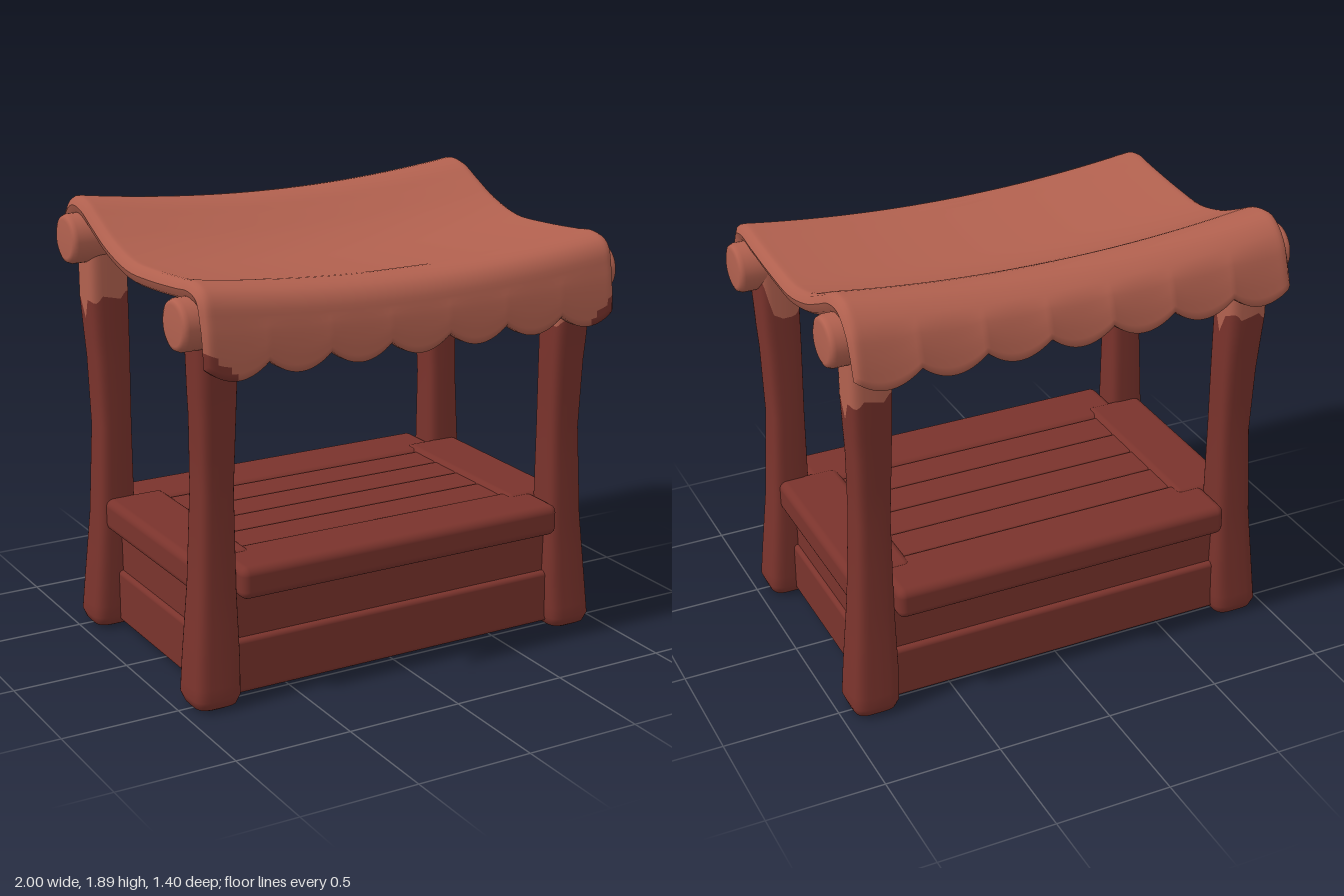
import * as THREE from 'three';
import { RoundedBoxGeometry } from 'three/addons/geometries/RoundedBoxGeometry.js';

const clothRed = new THREE.MeshStandardMaterial({ color: 0xb2614f });
clothRed.name = 'cloth red';
const woodRed = new THREE.MeshStandardMaterial({ color: 0x7a332c });
woodRed.name = 'wood red';

// Smooth surface over a grid of points, closed along u or v; isDark picks wood red faces
function surface(point, nu, nv, closeU, closeV, isDark) {
  const pos = [], light = [], dark = [];
  const cu = closeU ? nu : nu + 1, cv = closeV ? nv : nv + 1;
  for (let j = 0; j < cv; j++)
    for (let i = 0; i < cu; i++) pos.push(...point(i, j));
  const at = (i, j) => (j % cv) * cu + (i % cu);
  for (let j = 0; j < nv; j++)
    for (let i = 0; i < nu; i++) {
      const a = at(i, j), b = at(i + 1, j), c = at(i + 1, j + 1), d = at(i, j + 1);
      const list = isDark(pos[a * 3], pos[a * 3 + 1], pos[a * 3 + 2]) ? dark : light;
      list.push(a, b, c, a, c, d);
    }
  const g = new THREE.BufferGeometry();
  g.setAttribute('position', new THREE.Float32BufferAttribute(pos, 3));
  g.setIndex([...light, ...dark]);
  g.addGroup(0, light.length, 0);
  g.addGroup(light.length, dark.length, 1);
  g.computeVertexNormals();
  return g;
}

// Post outline: height, outer x, inner x, outer z, inner z
const POST = [
  [0, 0.92, 0.79, 0.565, 0.43], [0.012, 0.945, 0.765, 0.585, 0.405],
  [0.05, 0.96, 0.75, 0.6, 0.39], [0.2, 0.948, 0.745, 0.588, 0.39],
  [0.5, 0.92, 0.75, 0.567, 0.397], [0.9, 0.9, 0.75, 0.555, 0.405],
  [1.2, 0.905, 0.742, 0.57, 0.415], [1.45, 0.92, 0.738, 0.59, 0.42], [1.8, 0.92, 0.738, 0.59, 0.42],
];
function postSection(y) {
  let k = 0;
  while (k < POST.length - 2 && y > POST[k + 1][0]) k++;
  const p = POST[k], q = POST[k + 1], t = (y - p[0]) / (q[0] - p[0]);
  return p.map((v, n) => v + (q[n] - v) * t);
}

function postPart(sx, sz, heights, capStart, capEnd) {
  const N = 32, rows = heights.length;
  const nv = rows - 1 + (capStart ? 1 : 0) + (capEnd ? 1 : 0);
  return surface((i, j) => {
    const r = Math.min(Math.max(j - (capStart ? 1 : 0), 0), rows - 1);
    const scale = (capStart && j === 0) || (capEnd && j === nv) ? 0 : 1;
    const a = (i / N) * Math.PI * 2, c = Math.cos(a), s = -Math.sin(a);
    const ex = Math.sign(c) * Math.sqrt(Math.abs(c)), ez = Math.sign(s) * Math.sqrt(Math.abs(s));
    const y = heights[r](ex * sx, ez * sz);
    const [, ox, ix, oz, iz] = postSection(y);
    return [sx * (ox + ix) / 2 + scale * ex * (ox - ix) / 2, y,
      sz * (oz + iz) / 2 + scale * ez * (oz - iz) / 2];
  }, N, nv, true, false, () => false);
}

// Canopy centre line (z, y) from the front hem to the back hem, with half thickness
const CLOTH = [
  [0.675, 1.385, 0.02], [0.668, 1.5, 0.024], [0.65, 1.62, 0.03], [0.622, 1.695, 0.038],
  [0.555, 1.718, 0.04], [0.45, 1.708, 0.04], [0.2, 1.688, 0.042], [0, 1.686, 0.042],
  [-0.2, 1.735, 0.042], [-0.35, 1.802, 0.042], [-0.45, 1.848, 0.042], [-0.54, 1.855, 0.042],
  [-0.61, 1.805, 0.036], [-0.652, 1.7, 0.028], [-0.685, 1.57, 0.018],
];
function canopyGeometry() {
  const curve = new THREE.CatmullRomCurve3(CLOTH.map(([z, y]) => new THREE.Vector3(0, y, z)));
  const M = 56, W = 0.945, NX = 140;
  const line = [];
  for (let k = 0; k <= M; k++) {
    const s = k / M, f = s * (CLOTH.length - 1), n = Math.min(Math.floor(f), CLOTH.length - 2);
    const p = curve.getPoint(s), t = curve.getTangent(s);
    const end = Math.min(f, CLOTH.length - 1 - f);
    line.push({
      p, ny: -t.z, nz: t.y,
      h: CLOTH[n][2] + (CLOTH[n + 1][2] - CLOTH[n][2]) * (f - n),
      hem: Math.max(0, 1 - end / 2), sag: THREE.MathUtils.smoothstep(end, 0, 3),
    });
  }
  return surface((i, j) => {
    const x = -W + (2 * W * i) / NX, outer = j <= M;
    const l = line[outer ? j : 2 * M + 1 - j];
    // rounded side edge, scalloped hem and sagging middle
    const e = Math.max(0, (Math.abs(x) - W + 0.04) / 0.04);
    const h = l.h * Math.sqrt(Math.max(0, 1 - e * e)) * (outer ? 1 : -1);
    const d = Math.abs(x / 0.27 - Math.round(x / 0.27)) * 2;
    const y = l.p.y + 0.06 * d * d * l.hem - 0.068 * (1 - (x / W) ** 2) * l.sag;
    return [x, y + l.ny * h, l.p.z + l.nz * h];
  }, NX, 2 * M + 2, false, true,
  (x, y, z) => z > 0.5 && Math.abs(x) > 0.82 && y < 1.4 + (Math.abs(x) - 0.82) * 0.8);
}

export function createModel() {
  const root = new THREE.Group();
  root.name = 'canopyStall';
  const add = (name, geo, mat, x = 0, y = 0, z = 0) => {
    const m = new THREE.Mesh(geo, mat);
    m.name = name;
    m.position.set(x, y, z);
    root.add(m);
    return m;
  };
  const block = (name, x0, x1, y0, y1, z0, z1, r) =>
    add(name, new RoundedBoxGeometry(x1 - x0, y1 - y0, z1 - z0, 4, r), woodRed,
      (x0 + x1) / 2, (y0 + y1) / 2, (z0 + z1) / 2);

  // Base: two stacked boards all round
  block('lowerBase', -0.85, 0.85, 0.025, 0.26, -0.535, 0.535, 0.02);
  block('upperBase', -0.83, 0.83, 0.23, 0.48, -0.51, 0.51, 0.015);

  // Deck: rim beams around four planks
  for (const s of [-1, 1]) {
    const span = (a, b) => (s > 0 ? [a, b] : [-b, -a]);
    block(s > 0 ? 'frontRim' : 'backRim', -0.757, 0.757, 0.45, 0.585, ...span(0.335, 0.605), 0.035);
    block(s > 0 ? 'leftRim' : 'rightRim', ...span(0.62, 0.895), 0.45, 0.592, -0.43, 0.43, 0.035);
  }
  for (let k = 0; k < 4; k++)
    block('deckPlank', -0.635, 0.635, 0.46, 0.577, -0.34 + k * 0.17, -0.17 + k * 0.17, 0.012);

  // Posts: dark wood below a ragged line, lighter above
  for (const sx of [-1, 1])
    for (const sz of [-1, 1]) {
      const top = sz > 0 ? 1.6 : 1.76;
      const ragged = (ex, ez) => sz > 0
        ? 1.38 + 0.16 * THREE.MathUtils.smoothstep(ex, 0.3, 0.9) + 0.02 * Math.sin(ez * 7)
        : 1.47 - 0.09 * Math.max(0, 1 - Math.abs(ez) * 2.2) + 0.02 * Math.sin(ex * 6);
      const name = (sz > 0 ? 'front' : 'back') + (sx > 0 ? 'Left' : 'Right') + 'Post';
      const lower = [0, 0.006, 0.012, 0.03, 0.05, 0.1, 0.2, 0.35, 0.5, 0.7, 0.9, 1.05, 1.2, 1.3].map((y) => () => y);
      add(name, postPart(sx, sz, [...lower, ragged], true, false), woodRed);
      add(name + 'Top', postPart(sx, sz, [ragged, () => top - 0.02, () => top], false, true), clothRed);
    }

  // Poles carrying the canopy
  const polePoints = [[0, -1], [0.08, -1], [0.097, -0.993], [0.105, -0.975],
    [0.105, 0.975], [0.097, 0.993], [0.08, 1], [0, 1]].map(([r, y]) => new THREE.Vector2(r, y));
  const poleGeo = new THREE.LatheGeometry(polePoints, 32);
  add('frontPole', poleGeo, clothRed, 0, 1.587, 0.527).rotation.z = Math.PI / 2;
  add('backPole', poleGeo, clothRed, 0, 1.722, -0.503).rotation.z = Math.PI / 2;

  // Draped cloth with scalloped hems
  add('canopy', canopyGeometry(), [clothRed, woodRed]);
  return root;
}
